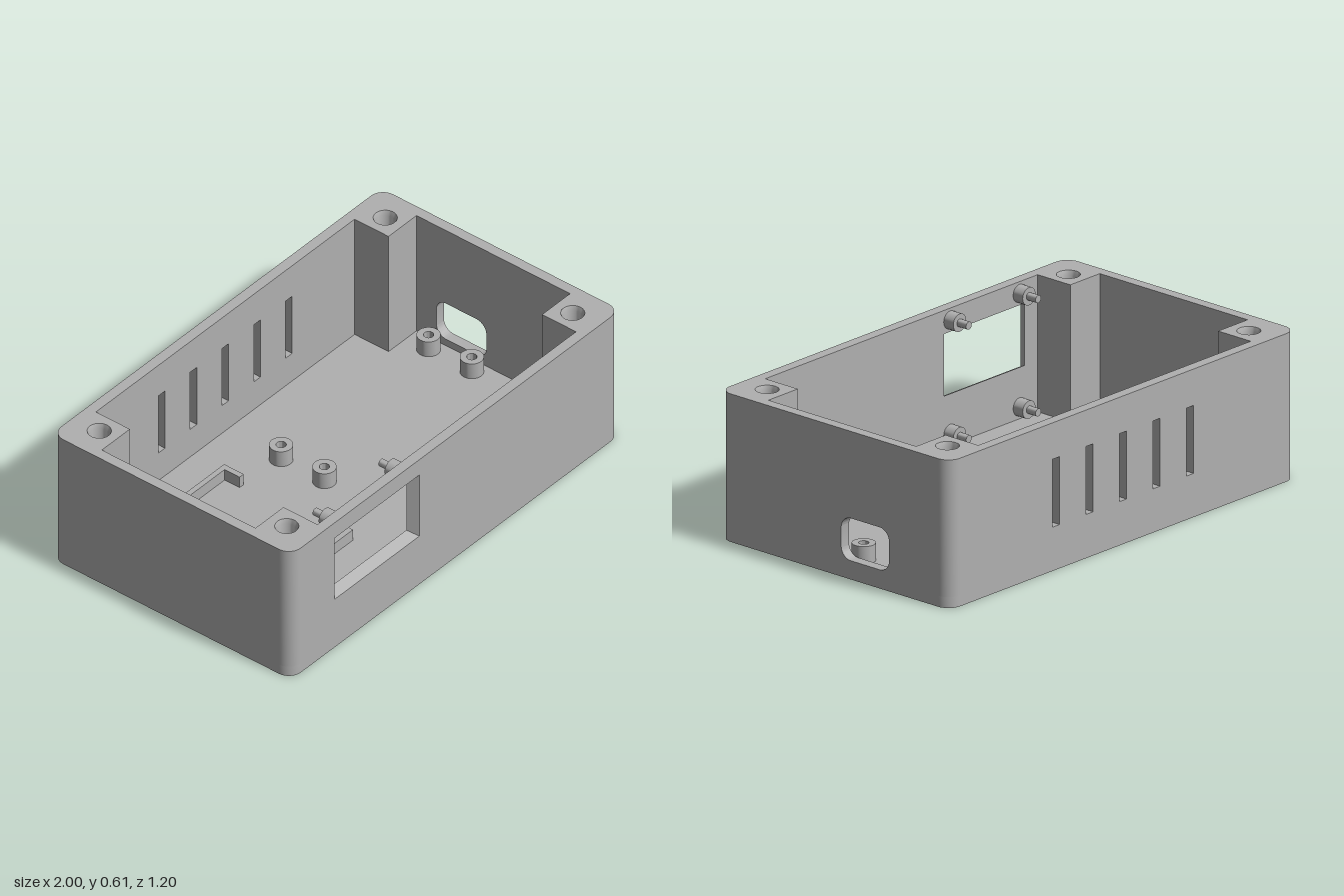
import * as THREE from 'three';
import { toCreasedNormals } from 'three/addons/utils/BufferGeometryUtils.js';

const X = 1, Z = 0.6, H = 0.61;        // outer half width, half depth, height
const WALL = 0.045, FLOOR = 0.045, R = 0.06;
const IX = X - WALL, IZ = Z - WALL;    // inner faces of the walls
const PX = 0.785, PZ = 0.385;          // inner faces of the corner posts

const plastic = new THREE.MeshStandardMaterial({ color: 0xb0b0b0 });
plastic.name = 'grey plastic';

function add(parent, name, geometry) {
  const mesh = new THREE.Mesh(toCreasedNormals(geometry, 0.6), plastic);
  mesh.name = name;
  parent.add(mesh);
  return mesh;
}

const polygon = pts => new THREE.Shape(pts.map(p => new THREE.Vector2(p[0], p[1])));
const rect = (x0, x1, y0, y1) => polygon([[x0, y0], [x1, y0], [x1, y1], [x0, y1]]);
const extrude = (shape, depth) =>
  new THREE.ExtrudeGeometry(shape, { depth, bevelEnabled: false, curveSegments: 12 });

// Plan outline given in (x, z), raised from y0 to y1
function raise(pts, y0, y1, hole) {
  const shape = polygon(pts.map(([x, z]) => [x, -z]));
  if (hole) {
    shape.holes.push(new THREE.Path().absarc(hole.x, -hole.z, hole.r, 0, Math.PI * 2, true));
  }
  return extrude(shape, y1 - y0).rotateX(-Math.PI / 2).translate(0, y0, 0);
}

// Points round one outer corner, from the side face to the front or back face
function cornerArc(sx, sz) {
  const pts = [];
  for (let i = 0; i <= 10; i++) {
    const a = (i / 10) * Math.PI / 2;
    pts.push([sx * (X - R + R * Math.cos(a)), sz * (Z - R + R * Math.sin(a))]);
  }
  return pts;
}

function roundedRect(x0, x1, y0, y1, r) {
  const s = new THREE.Path();
  s.absarc(x1 - r, y1 - r, r, 0, Math.PI / 2);
  s.absarc(x0 + r, y1 - r, r, Math.PI / 2, Math.PI);
  s.absarc(x0 + r, y0 + r, r, Math.PI, Math.PI * 1.5);
  s.absarc(x1 - r, y0 + r, r, Math.PI * 1.5, Math.PI * 2);
  s.closePath();
  return s;
}

const lathe = (pts, n = 32) =>
  new THREE.LatheGeometry(pts.map(p => new THREE.Vector2(p[0], p[1])), n);

// Sloped frame lining the window: wide at the outer face, narrow inside
function windowBevel(outer, inner) {
  const loop = ([x0, x1, y0, y1], z) => [[x0, y0, z], [x1, y0, z], [x1, y1, z], [x0, y1, z]];
  const loops = [loop(outer, Z), loop(inner, IZ), loop(outer, IZ)];
  const pos = [];
  for (let k = 0; k < 2; k++) {
    for (let i = 0; i < 4; i++) {
      const j = (i + 1) % 4;
      const a = loops[k][i], b = loops[k][j], c = loops[k + 1][j], d = loops[k + 1][i];
      pos.push(...a, ...b, ...c, ...a, ...c, ...d);
    }
  }
  const g = new THREE.BufferGeometry();
  g.setAttribute('position', new THREE.Float32BufferAttribute(pos, 3));
  g.computeVertexNormals();
  return g;
}

export function createModel() {
  const model = new THREE.Group();
  model.name = 'enclosure';

  // Floor
  add(model, 'floor', raise([
    ...cornerArc(1, 1), ...cornerArc(-1, 1).reverse(),
    ...cornerArc(-1, -1), ...cornerArc(1, -1).reverse(),
  ], 0, FLOOR));

  // Corner posts with screw holes
  for (const sx of [-1, 1]) {
    for (const sz of [-1, 1]) {
      const hole = { x: sx * 0.868, z: sz * 0.47, r: 0.047 };
      add(model, 'cornerPost', raise([
        [sx * PX, sz * PZ], [sx * X, sz * PZ], ...cornerArc(sx, sz), [sx * PX, sz * Z],
      ], FLOOR, H, hole));
      add(model, 'screwHole', lathe([[0.047, H], [0.039, H - 0.02], [0.039, 0.4], [0, 0.4]]))
        .position.set(hole.x, 0, hole.z);
    }
  }

  // Front wall with bevelled display window
  const outer = [-0.735, -0.22, 0.235, 0.535], inner = [-0.71, -0.245, 0.257, 0.513];
  const front = rect(-PX, PX, FLOOR, H);
  front.holes.push(rect(...outer));
  add(model, 'frontWall', extrude(front, WALL).translate(0, 0, IZ));
  add(model, 'windowBevel', windowBevel(outer, inner));

  // Back wall with five vent slots
  const back = rect(-PX, PX, FLOOR, H);
  for (let i = -2; i <= 2; i++) {
    const c = i * 0.193;
    back.holes.push(rect(c - 0.02, c + 0.02, 0.18, 0.46));
  }
  add(model, 'backWall', extrude(back, WALL).translate(0, 0, -Z));

  // End walls, one with a rounded port opening
  const end = rect(-PZ, PZ, FLOOR, H);
  add(model, 'plainEndWall', extrude(end, WALL).rotateY(Math.PI / 2).translate(-X, 0, 0));
  const portEnd = rect(-PZ, PZ, FLOOR, H);
  portEnd.holes.push(roundedRect(0.035, 0.285, 0.077, 0.252, 0.05));
  add(model, 'portEndWall', extrude(portEnd, WALL).rotateY(Math.PI / 2).translate(IX, 0, 0));

  // Circuit board standoffs
  for (const x of [0, 0.895]) {
    for (const z of [-0.275, -0.058]) {
      add(model, 'standoff', lathe([
        [0.047, FLOOR], [0.047, 0.117], [0.02, 0.117], [0.02, 0.055], [0, 0.055],
      ])).position.set(x, 0, z);
    }
  }

  // Display pegs on the inside of the front wall
  for (const x of [-0.68, -0.28]) {
    for (const y of [0.562, 0.095]) {
      const peg = add(model, 'displayPeg', lathe([
        [0.037, 0], [0.037, 0.05], [0.016, 0.05], [0.016, 0.098], [0, 0.098],
      ], 24));
      peg.rotation.x = -Math.PI / 2;
      peg.position.set(x, y, IZ);
    }
  }

  // Low battery tray rail, open in the middle of one end
  add(model, 'batteryRail', raise([
    [-IX, -0.383], [-0.215, -0.383], [-0.215, -0.285], [-0.24, -0.285],
    [-0.24, -0.36], [-0.932, -0.36], [-0.932, 0.24], [-0.24, 0.24],
    [-0.24, 0.16], [-0.215, 0.16], [-0.215, 0.263], [-IX, 0.263],
  ], FLOOR, 0.096));

  return model;
}
